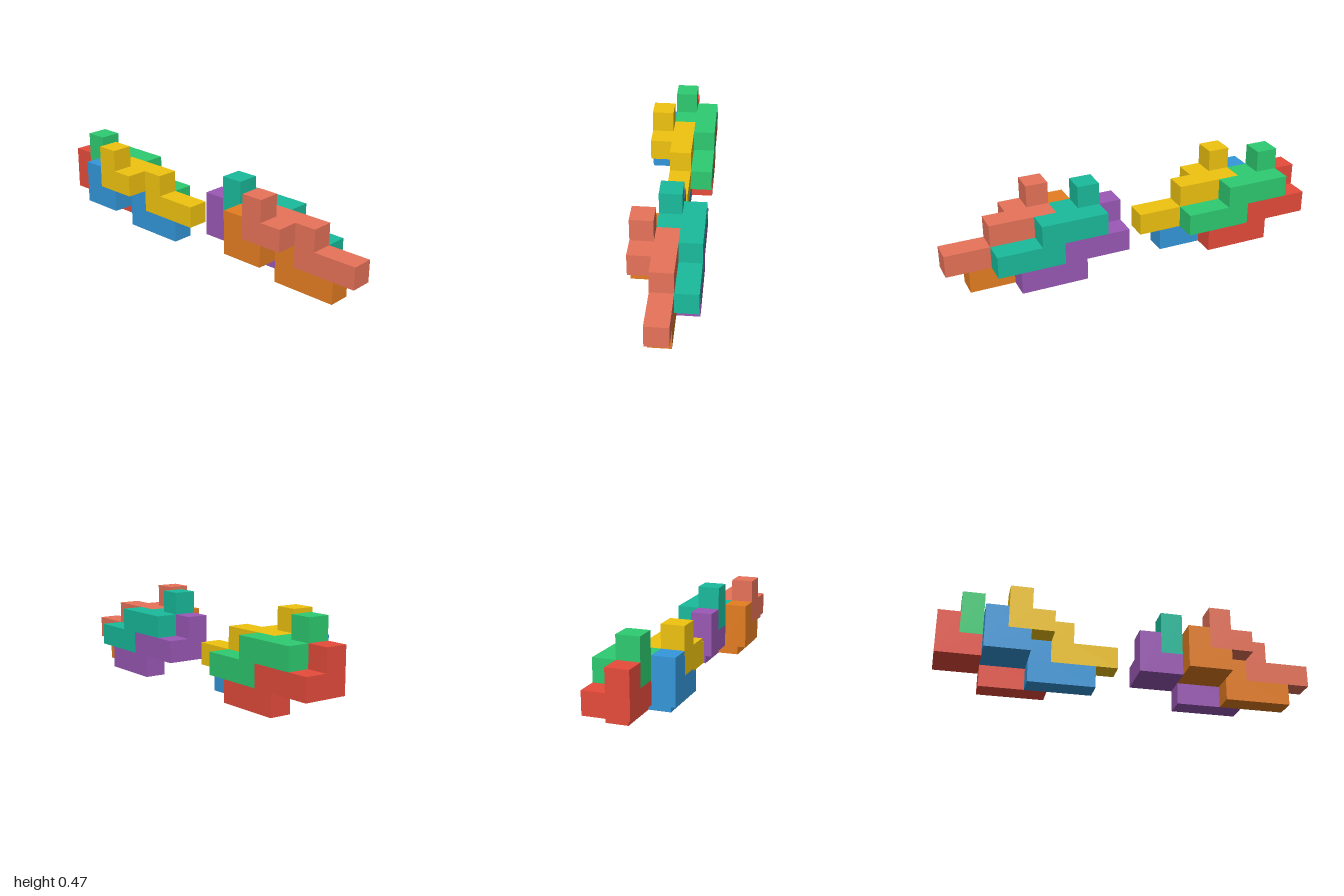
import * as THREE from 'three';

const U = 2 / 17; // edge of one cube; the two assemblies span 17 cubes

// Extrude a flat outline (in cube units) into a slab one cube deep
function slab(points, z, material, name) {
  const shape = new THREE.Shape(points.map(([x, y]) => new THREE.Vector2(x * U, y * U)));
  const geometry = new THREE.ExtrudeGeometry(shape, { depth: U, bevelEnabled: false });
  geometry.translate(0, 0, z * U);
  const mesh = new THREE.Mesh(geometry, material);
  mesh.name = name;
  return mesh;
}

// One nine-cube puzzle piece: a stepped bar behind and a small L in front
const STEP = [[0, 1], [2, 1], [2, 0], [5, 0], [5, 1], [3, 1], [3, 2], [0, 2]];
const ELL = [[0, 1], [2, 1], [2, 2], [1, 2], [1, 3], [0, 3]];

function puzzlePiece(name, color) {
  const material = new THREE.MeshStandardMaterial({ color, flatShading: true });
  const piece = new THREE.Group();
  piece.name = name;
  piece.add(slab(STEP, 0, material, 'steppedBar'), slab(ELL, 1, material, 'frontEll'));
  return piece;
}

export function createModel() {
  const model = new THREE.Group();
  model.name = 'interlockingPuzzle';

  // Offsets of the four nested pieces, in cubes
  const offsets = [[0, 0, 0], [1, 1, 0], [2, 0, 1], [3, 1, 1]];
  const assemblies = [
    { name: 'rightAssembly', x: 0, pieces: [['redPiece', 0xe74c3c], ['greenPiece', 0x2ecc71], ['bluePiece', 0x3498db], ['yellowPiece', 0xf1c40f]] },
    { name: 'leftAssembly', x: 9, pieces: [['purplePiece', 0x9b59b6], ['tealPiece', 0x1abc9c], ['orangePiece', 0xe67e22], ['salmonPiece', 0xe8735a]] },
  ];

  for (const { name, x, pieces } of assemblies) {
    const assembly = new THREE.Group();
    assembly.name = name;
    assembly.position.set(-1 + x * U, 0, -1.5 * U);
    pieces.forEach(([pieceName, color], i) => {
      const piece = puzzlePiece(pieceName, color);
      piece.position.fromArray(offsets[i]).multiplyScalar(U);
      assembly.add(piece);
    });
    model.add(assembly);
  }
  return model;
}
